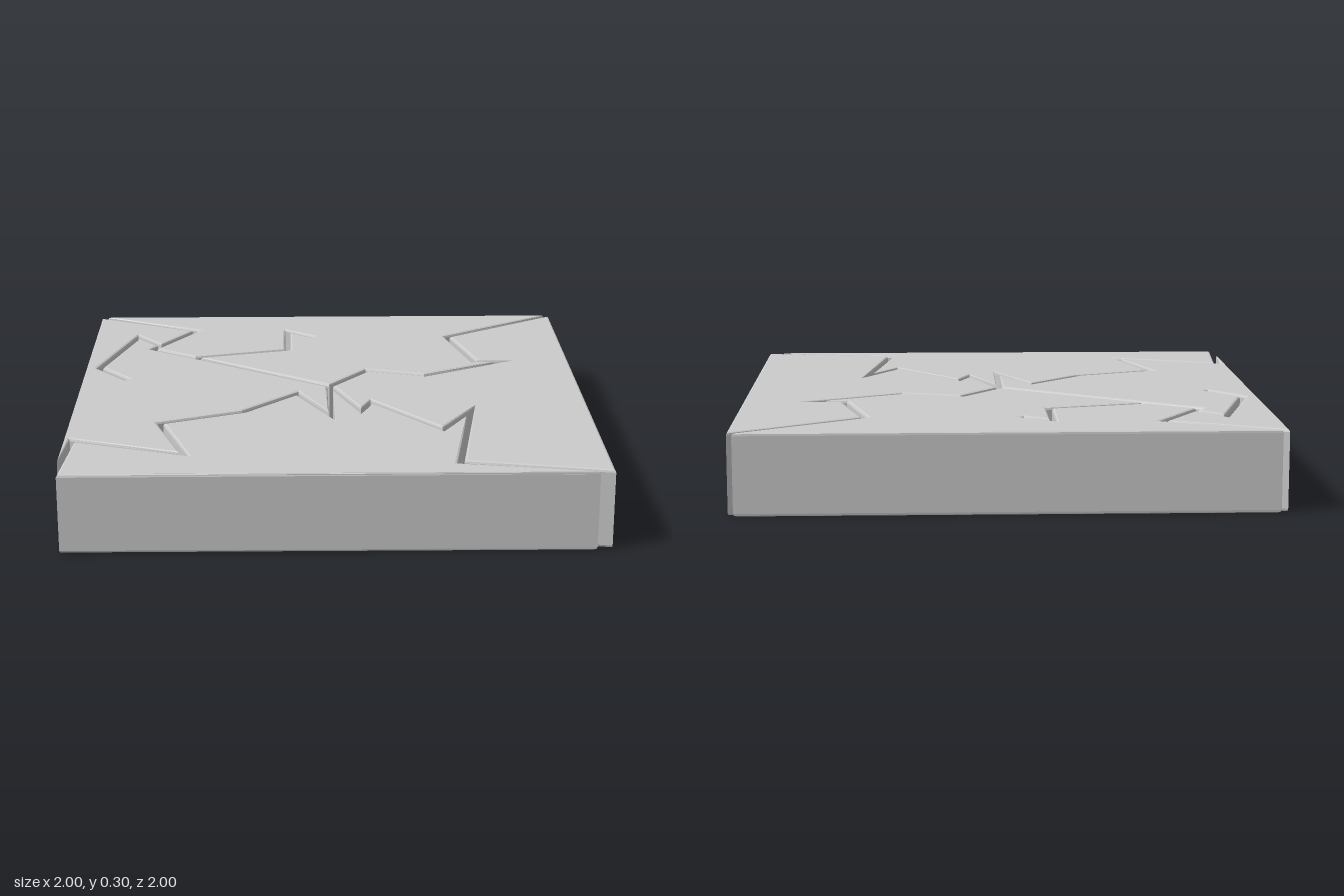
import * as THREE from 'three';

const HEIGHT = 0.3;
const HALF_GAP = 0.011;
const BEVEL = 0.01;

// Crack centrelines as [x, z], each from the centre of the slab to a corner
const backLeft = [[0, 0], [-0.56, -0.395], [-0.74, -0.52], [-0.711, -0.566], [-0.57, -0.79], [-1, -1]];
const backRight = [[0, 0], [0.155, -0.205], [0.39, -0.135], [0.73, -0.317], [0.61, -0.32], [0.52, -0.68], [1, -1]];
const frontRight = [[0, 0], [0.115, 0.31], [0.16, 0.2], [0.418, 0.53], [0.54, 0.32], [0.455, 0.89], [1, 1]];
const frontLeft = [[0, 0], [0, 0.37], [-0.13, 0.09], [-0.34, 0.31], [-0.655, 0.44], [-0.545, 0.79], [-0.97, 0.63], [-1, 1]];

// Dead-end side cracks, leaving the back left crack at one of its points
const backBranch = [[-0.17, -0.5], [-0.17, -0.77], [-0.06, -0.685]];
const leftBranch = [[-0.815, -0.7], [-0.945, -0.255], [-0.82, -0.1]];

// Walks a side crack out and back again, starting at point index of a crack
function withBranch(crack, index, branch) {
  const back = branch.slice(0, -1).reverse();
  return [...crack.slice(0, index + 1), ...branch, ...back, ...crack.slice(index)];
}

// Moves every crack edge of a counter-clockwise outline inward; rim edges stay
function insetOutline(points) {
  const count = points.length;
  const edges = points.map((p, i) => {
    const q = points[(i + 1) % count];
    const normal = new THREE.Vector2(p.y - q.y, q.x - p.x).normalize();
    const onRim = [p, q].every((v) => Math.abs(v.x) === 1 && Math.abs(v.y) === 1);
    return { normal, distance: onRim ? 0 : HALF_GAP };
  });
  const result = [];
  points.forEach((p, i) => {
    const a = edges[(i + count - 1) % count];
    const b = edges[i];
    const det = a.normal.cross(b.normal);
    if (Math.abs(det) < 1e-5) {
      // straight run, or the blunt end of a side crack
      result.push(p.clone().addScaledVector(a.normal, a.distance));
      if (a.normal.dot(b.normal) < 0) result.push(p.clone().addScaledVector(b.normal, b.distance));
      return;
    }
    result.push(new THREE.Vector2(
      p.x + (a.distance * b.normal.y - b.distance * a.normal.y) / det,
      p.y + (a.normal.x * b.distance - b.normal.x * a.distance) / det,
    ));
  });
  return result;
}

// One piece of the slab, between an outgoing and a returning crack
function makePiece(name, outward, inward, material) {
  const loop = [...outward, ...inward.slice(1).reverse()];
  const outline = insetOutline(loop.map(([x, z]) => new THREE.Vector2(x, -z)));
  const geometry = new THREE.ExtrudeGeometry(new THREE.Shape(outline), {
    depth: HEIGHT - 2 * BEVEL,
    bevelEnabled: true,
    bevelThickness: BEVEL,
    bevelSize: BEVEL,
    bevelOffset: -BEVEL,
    bevelSegments: 2,
  });
  geometry.rotateX(-Math.PI / 2);
  geometry.translate(0, BEVEL, 0);
  const mesh = new THREE.Mesh(geometry, material);
  mesh.name = name;
  return mesh;
}

export function createModel() {
  const group = new THREE.Group();
  group.name = 'crackedSlab';
  const material = new THREE.MeshStandardMaterial({ color: 0xcccccc });
  group.add(
    makePiece('rightPiece', frontRight, backRight, material),
    makePiece('backPiece', backRight, withBranch(backLeft, 1, backBranch), material),
    makePiece('leftPiece', withBranch(backLeft, 3, leftBranch), frontLeft, material),
    makePiece('frontPiece', frontLeft, frontRight, material),
  );
  // names follow the model's own left and right
  group.getObjectByName('rightPiece').name = 'leftSidePiece';
  group.getObjectByName('leftPiece').name = 'rightSidePiece';
  return group;
}
